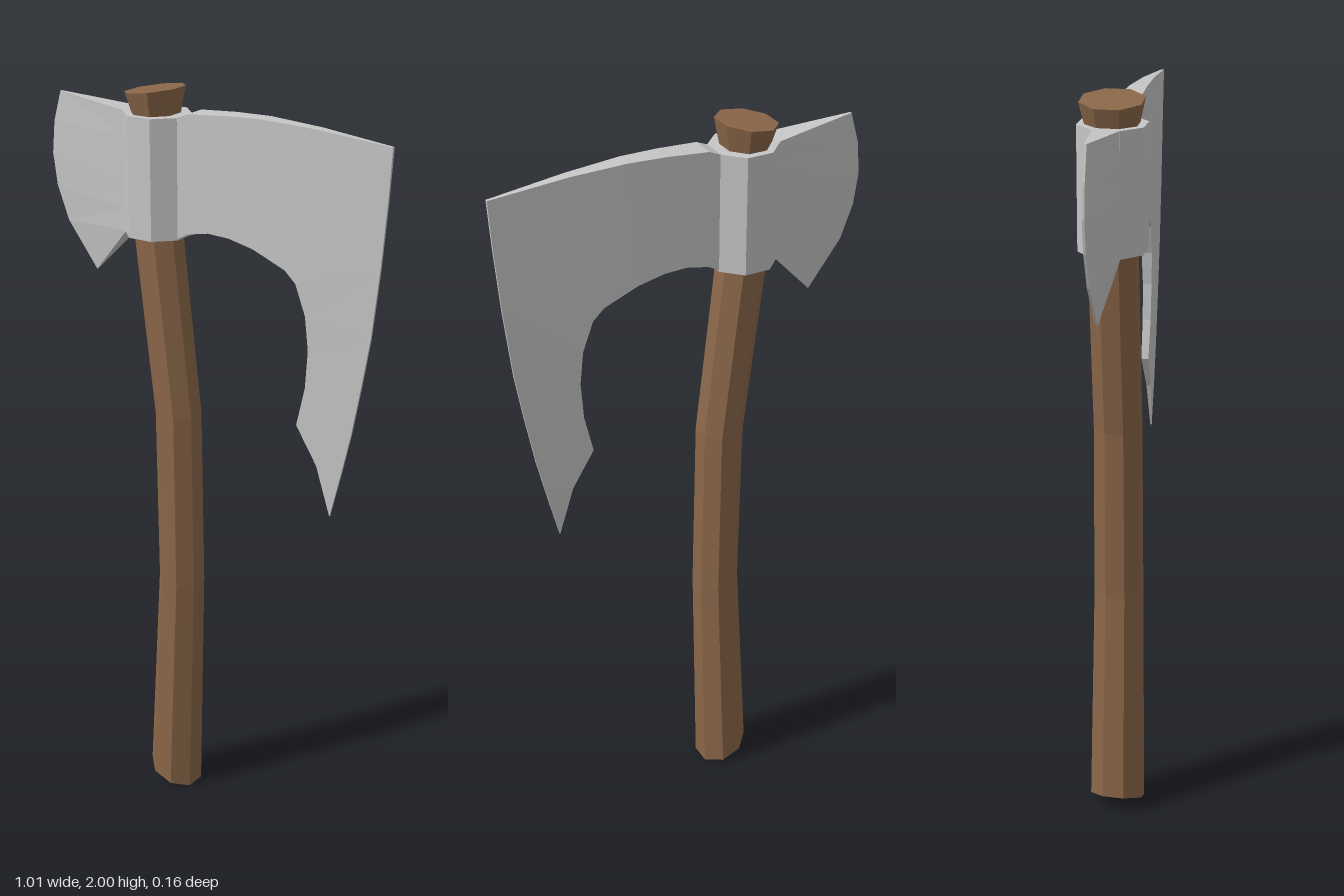
import * as THREE from 'three';

const wood = new THREE.MeshStandardMaterial({ color: 0x8b6749, flatShading: true });
wood.name = 'wood';
const steel = new THREE.MeshStandardMaterial({ color: 0xc6c6c6, flatShading: true });
steel.name = 'steel';

// Skins a row of equal cross-section loops and caps both ends
function loft(name, rings, material) {
  const pos = [];
  const tri = (a, b, c) => pos.push(...a, ...b, ...c);
  const n = rings[0].length;
  for (let i = 0; i < rings.length - 1; i++) {
    for (let j = 0; j < n; j++) {
      const k = (j + 1) % n;
      const [a, b, c, d] = [rings[i][j], rings[i + 1][j], rings[i + 1][k], rings[i][k]];
      tri(a, b, c);
      tri(a, c, d);
    }
  }
  const first = rings[0], last = rings[rings.length - 1];
  for (let j = 1; j < n - 1; j++) {
    tri(first[0], first[j], first[j + 1]);
    tri(last[0], last[j + 1], last[j]);
  }
  const geometry = new THREE.BufferGeometry();
  geometry.setAttribute('position', new THREE.Float32BufferAttribute(pos, 3));
  geometry.computeVertexNormals();
  const mesh = new THREE.Mesh(geometry, material);
  mesh.name = name;
  return mesh;
}

// Octagon spanning from (x0, y0) to (x1, y1), with half depth hz
function octagon([x0, y0, x1, y1, hz]) {
  const ring = [];
  const s = 1 / Math.cos(Math.PI / 8);
  for (let k = 0; k < 8; k++) {
    const a = Math.PI / 8 + k * Math.PI / 4;
    const u = Math.cos(a) * s;
    ring.push([(x0 + x1) / 2 + u * (x1 - x0) / 2, (y0 + y1) / 2 + u * (y1 - y0) / 2, Math.sin(a) * s * hz]);
  }
  return ring;
}

// Blade section between two outline points, each with its own half thickness
const bladeSection = ([ax, ay, ah, bx, by, bh]) =>
  [[ax, ay, ah], [bx, by, bh], [bx, by, -bh], [ax, ay, -ah]];

export function createModel() {
  const axe = new THREE.Group();
  axe.name = 'axe';

  // Curved handle with a slanted foot and flared top
  axe.add(loft('handle', [
    [-0.195, 0.06, -0.065, 0.005, 0.07],
    [-0.163, 0.66, -0.05, 0.65, 0.062],
    [-0.171, 1.13, -0.057, 1.14, 0.059],
    [-0.23, 1.61, -0.112, 1.63, 0.059],
    [-0.23, 1.92, -0.118, 1.93, 0.062],
    [-0.25, 1.98, -0.106, 2.0, 0.076],
  ].map(octagon), wood));

  // Eight-sided collar around the handle
  axe.add(loft('collar', [
    [-0.254, 1.62, -0.089, 1.62, 0.082],
    [-0.254, 1.932, -0.089, 1.932, 0.082],
  ].map(octagon), steel));

  // Bearded main blade: lower curve paired with top edge, then cutting edge
  axe.add(loft('mainBlade', [
    [-0.095, 1.62, 0.034, -0.095, 1.93, 0.034],
    [-0.06, 1.64, 0.033, -0.06, 1.945, 0.033],
    [0, 1.651, 0.03, 0.05, 1.953, 0.028],
    [0.06, 1.647, 0.027, 0.15, 1.956, 0.023],
    [0.13, 1.63, 0.024, 0.3, 1.949, 0.014],
    [0.22, 1.59, 0.019, 0.5, 1.93, 0.004],
    [0.25, 1.56, 0.017, 0.492, 1.8, 0.003],
    [0.278, 1.48, 0.014, 0.478, 1.63, 0.003],
    [0.287, 1.39, 0.012, 0.458, 1.45, 0.003],
    [0.28, 1.29, 0.011, 0.436, 1.32, 0.003],
    [0.256, 1.185, 0.01, 0.412, 1.19, 0.003],
    [0.315, 1.085, 0.006, 0.387, 1.08, 0.003],
    [0.355, 0.952, 0.002, 0.356, 0.952, 0.002],
  ].map(bladeSection), steel));

  // Fan-shaped rear blade: root paired with cutting edge, from bottom to top
  axe.add(loft('rearBlade', [
    [-0.25, 1.62, 0.034, -0.37, 1.49, 0.003],
    [-0.25, 1.68, 0.034, -0.46, 1.61, 0.003],
    [-0.25, 1.74, 0.034, -0.494, 1.7, 0.003],
    [-0.25, 1.8, 0.034, -0.506, 1.785, 0.003],
    [-0.25, 1.87, 0.034, -0.498, 1.87, 0.003],
    [-0.25, 1.932, 0.034, -0.475, 1.951, 0.003],
  ].map(bladeSection), steel));

  return axe;
}
